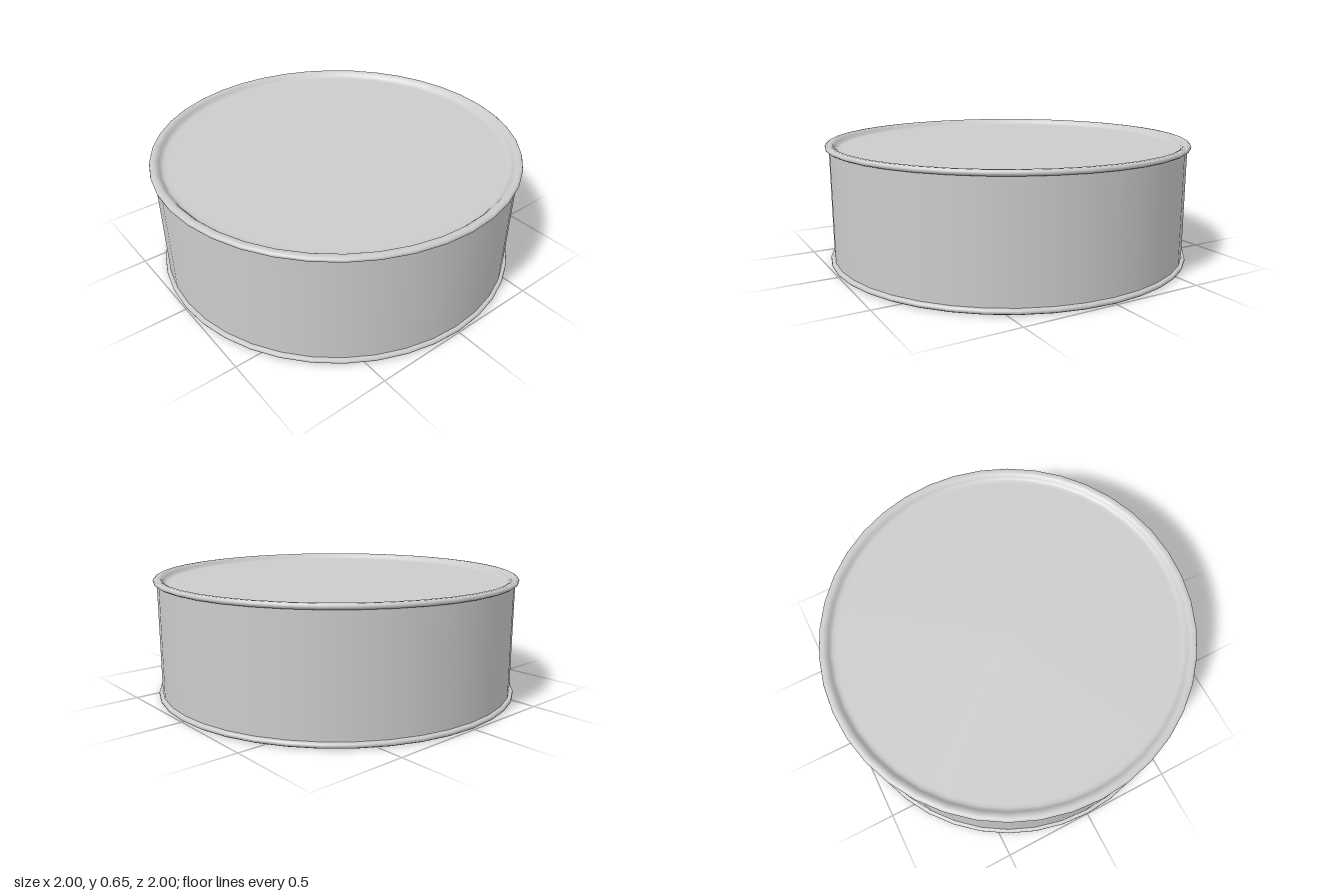
import * as THREE from 'three';

const SEGMENTS = 40;
const HEIGHT = 0.65;
const WALL_RADIUS = 0.98;

// Profile [radius, height] of the upper end: rolled rim, then a recessed panel
const END_PROFILE = [
  [0.965, 0.622], [0.99, 0.622], [0.998, 0.628], [1, 0.636], [0.997, 0.644],
  [0.988, 0.65], [0.972, 0.65], [0.96, 0.645], [0.95, 0.634], [0.942, 0.624],
  [0.93, 0.619], [0.91, 0.618], [0, 0.618],
];

function lathe(name, points, material) {
  const profile = points.map(([r, y]) => new THREE.Vector2(r, y));
  const mesh = new THREE.Mesh(new THREE.LatheGeometry(profile, SEGMENTS), material);
  mesh.name = name;
  return mesh;
}

export function createModel() {
  const material = new THREE.MeshStandardMaterial({ color: 0xcccccc });
  const can = new THREE.Group();
  can.name = 'can';

  // Straight side wall
  can.add(lathe('wall', [[WALL_RADIUS, 0.02], [WALL_RADIUS, HEIGHT - 0.02]], material));

  // Lid, and the same profile mirrored for the base
  can.add(lathe('lid', END_PROFILE, material));
  const baseProfile = END_PROFILE.map(([r, y]) => [r, HEIGHT - y]).reverse();
  can.add(lathe('base', baseProfile, material));

  return can;
}
